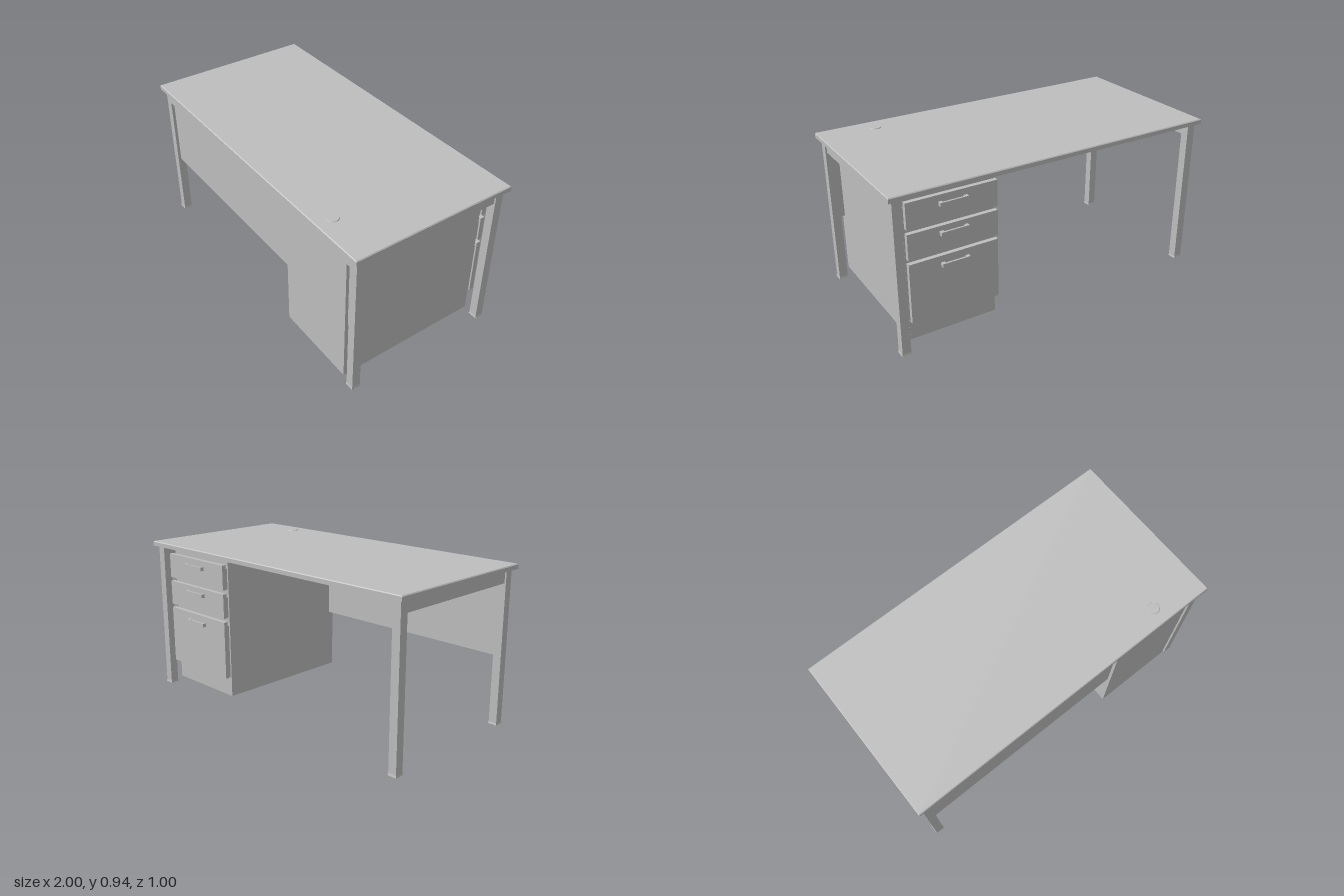
import * as THREE from 'three';

export function createModel() {
  const desk = new THREE.Group();
  desk.name = 'desk';
  const grey = new THREE.MeshStandardMaterial({ color: 0xbebebe });
  grey.name = 'grey';

  const add = (name, geometry, parent = desk) => {
    const mesh = new THREE.Mesh(geometry, grey);
    mesh.name = name;
    parent.add(mesh);
    return mesh;
  };

  // Box given by its extents on each axis
  const box = (name, [x0, x1], [y0, y1], [z0, z1], parent) => {
    const mesh = add(name, new THREE.BoxGeometry(x1 - x0, y1 - y0, z1 - z0), parent);
    mesh.position.set((x0 + x1) / 2, (y0 + y1) / 2, (z0 + z1) / 2);
    return mesh;
  };

  // Box whose upper face is drawn in by an inset on every side
  const taperedBox = (name, w, h, d, inset, parent) => {
    const g = new THREE.BoxGeometry(w, h, d).toNonIndexed();
    const p = g.attributes.position;
    for (let i = 0; i < p.count; i++) {
      if (p.getY(i) > 0) {
        p.setX(i, p.getX(i) - Math.sign(p.getX(i)) * inset);
        p.setZ(i, p.getZ(i) - Math.sign(p.getZ(i)) * inset);
      }
    }
    g.computeVertexNormals();
    return add(name, g, parent);
  };

  // Worktop with a small bevel along its upper edge
  box('worktop', [-1, 1], [0.907, 0.931], [-0.5, 0.5]);
  taperedBox('worktopBevel', 2, 0.005, 1, 0.005).position.y = 0.9335;

  // Cable cover in the worktop
  const cover = add('cableCover', new THREE.CylinderGeometry(0.033, 0.036, 0.005, 32));
  cover.position.set(0.68, 0.9375, 0.4);

  // Four legs with flared feet
  for (const x of [-0.95, 0.95]) {
    for (const z of [-0.45, 0.45]) {
      const leg = new THREE.Group();
      leg.name = 'leg';
      leg.position.set(x, 0, z);
      desk.add(leg);
      box('legPost', [-0.025, 0.025], [0.01, 0.907], [-0.025, 0.025], leg);
      taperedBox('foot', 0.056, 0.012, 0.056, 0.003, leg).position.y = 0.006;
    }
  }

  // Side rails between the legs
  for (const s of [-1, 1]) {
    const rail = box('sideRail', [-0.018, 0.018], [0.833, 0.907], [-0.425, 0.425]);
    rail.position.x = s * 0.948;
  }

  // Front rail and modesty panel on both sides of the pedestal
  for (const span of [[-0.925, 0.375], [0.897, 0.925]]) {
    box('frontRail', span, [0.833, 0.907], [0.44, 0.475]);
    box('modestyPanel', span, [0.41, 0.833], [0.44, 0.457]);
  }

  // Drawer pedestal, flush with the front rail
  box('pedestal', [0.375, 0.897], [0.04, 0.907], [-0.41, 0.475]);

  // Drawers opening at the back: bottom, top of the box, top of the front, handle height
  const drawers = [
    [0.163, 0.489, 0.517, 0.467],
    [0.54, 0.664, 0.689, 0.65],
    [0.713, 0.838, 0.863, 0.816],
  ];
  for (const [y0, boxTop, frontTop, handleY] of drawers) {
    const drawer = new THREE.Group();
    drawer.name = 'drawer';
    desk.add(drawer);
    box('drawerBox', [0.385, 0.887], [y0, boxTop], [-0.428, -0.41], drawer);
    box('drawerFront', [0.375, 0.897], [y0, frontTop], [-0.452, -0.426], drawer);
    // Bar handle on two posts
    box('handleBar', [0.555, 0.717], [handleY - 0.011, handleY + 0.011], [-0.475, -0.464], drawer);
    for (const x of [0.565, 0.707]) {
      box('handlePost', [x - 0.01, x + 0.01], [handleY - 0.011, handleY + 0.011], [-0.464, -0.452], drawer);
    }
  }

  return desk;
}
